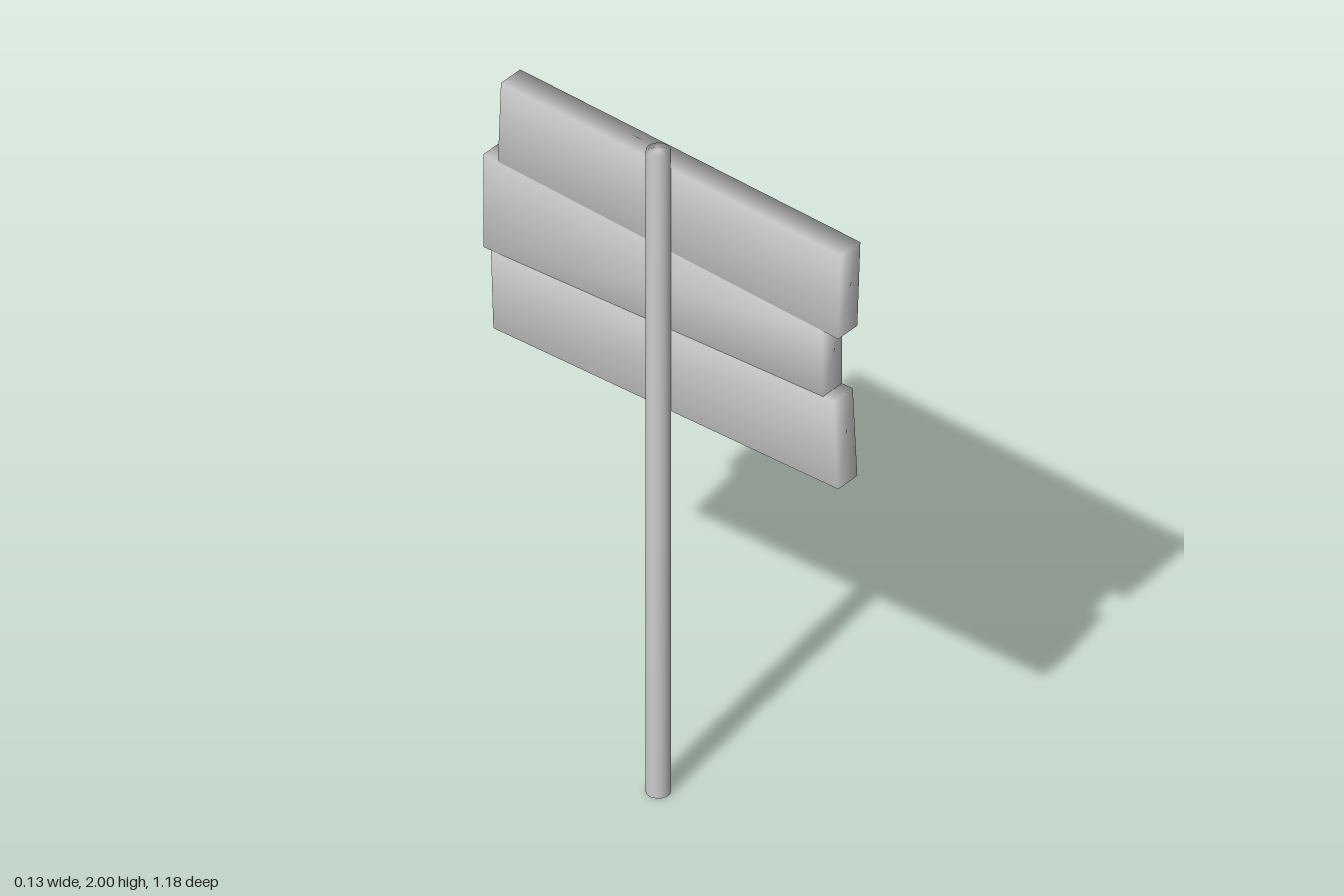
import * as THREE from 'three';
import { mergeVertices } from 'three/addons/utils/BufferGeometryUtils.js';

const material = new THREE.MeshStandardMaterial({ color: 0xcccccc });

// Share the corner vertices so the shading rolls softly over every edge
function soften(geometry) {
  geometry.deleteAttribute('normal');
  geometry.deleteAttribute('uv');
  const merged = mergeVertices(geometry, 1e-4);
  merged.computeVertexNormals();
  return merged;
}

function addMesh(group, name, geometry) {
  const mesh = new THREE.Mesh(geometry, material);
  mesh.name = name;
  group.add(mesh);
  return mesh;
}

// A plank: a box whose four side-on corners are moved to given [z, y] points
function plankGeometry({ topFront, topBack, bottomFront, bottomBack }) {
  const geometry = new THREE.BoxGeometry(1, 1, 1);
  const p = geometry.attributes.position;
  for (let i = 0; i < p.count; i++) {
    const front = p.getZ(i) > 0;
    const [z, y] = p.getY(i) > 0
      ? (front ? topFront : topBack)
      : (front ? bottomFront : bottomBack);
    p.setXYZ(i, p.getX(i) > 0 ? 0.064 : -0.012, y, z);
  }
  return soften(geometry);
}

export function createModel() {
  const group = new THREE.Group();
  group.name = 'signpost';

  // Round post behind the planks
  const post = addMesh(group, 'post', soften(new THREE.CylinderGeometry(0.032, 0.032, 2, 24)));
  post.position.set(-0.035, 1, 0.007);

  // Three uneven planks stacked on the post
  const planks = {
    topPlank: {
      topFront: [0.59, 1.925], topBack: [-0.53, 1.95],
      bottomFront: [0.58, 1.66], bottomBack: [-0.54, 1.7],
    },
    middlePlank: {
      topFront: [0.53, 1.662], topBack: [-0.587, 1.702],
      bottomFront: [0.53, 1.458], bottomBack: [-0.587, 1.412],
    },
    bottomPlank: {
      topFront: [0.565, 1.458], topBack: [-0.563, 1.413],
      bottomFront: [0.58, 1.192], bottomBack: [-0.555, 1.174],
    },
  };
  for (const [name, corners] of Object.entries(planks)) {
    addMesh(group, name, plankGeometry(corners));
  }
  return group;
}
